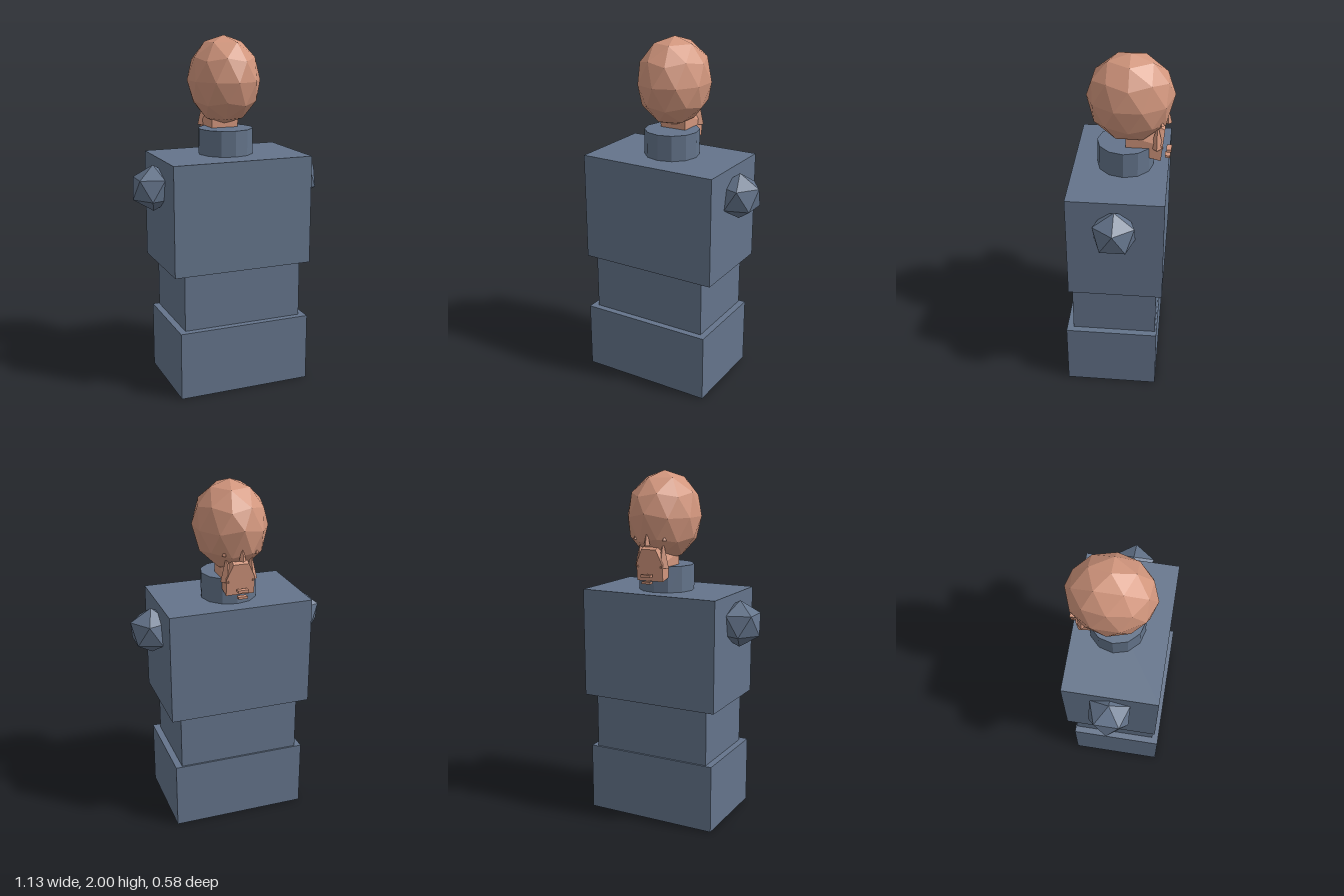
import * as THREE from 'three';

const cloth = new THREE.MeshStandardMaterial({ name: 'slate cloth', color: 0x64748b, flatShading: true });
const skin = new THREE.MeshStandardMaterial({ name: 'skin', color: 0xd2967d, flatShading: true });

function add(group, name, geometry, material, x, y, z) {
  const mesh = new THREE.Mesh(geometry, material);
  mesh.name = name;
  mesh.position.set(x, y, z);
  group.add(mesh);
  return mesh;
}

// Box given by half width, bottom, top, back and front
function block(group, name, halfX, y0, y1, z0, z1, material = cloth) {
  const geometry = new THREE.BoxGeometry(halfX * 2, y1 - y0, z1 - z0);
  return add(group, name, geometry, material, 0, (y0 + y1) / 2, (z0 + z1) / 2);
}

// Icosphere standing on one of its corners, with an upper corner towards +x
function icosphere(radius, detail) {
  return new THREE.IcosahedronGeometry(radius, detail)
    .rotateX(-Math.atan((1 + Math.sqrt(5)) / 2))
    .rotateY(Math.PI / 2);
}

export function createModel() {
  const model = new THREE.Group();
  model.name = 'blockBust';

  // Stacked body
  block(model, 'pelvis', 0.39, 0, 0.39, -0.24, 0.29);
  block(model, 'waist', 0.352, 0.39, 0.71, -0.23, 0.252);
  block(model, 'chest', 0.411, 0.71, 1.335, -0.265, 0.265);
  add(model, 'collar', new THREE.CylinderGeometry(0.157, 0.157, 0.146, 12).rotateY(Math.PI / 2), cloth, 0, 1.408, -0.023);

  // Shoulder balls
  for (const side of [-1, 1]) {
    add(model, side > 0 ? 'leftShoulder' : 'rightShoulder', icosphere(0.132, 0), cloth, side * 0.445, 1.168, 0);
  }

  // Skull, with the brow corner raised a little
  const skull = icosphere(1, 1).scale(0.205, 0.25, 0.24);
  const p = skull.attributes.position;
  for (let i = 0; i < p.count; i++) if (p.getZ(i) < -0.235) p.setY(i, p.getY(i) + 0.025);
  add(model, 'head', skull, skin, 0, 1.75, -0.05);

  // Jaw: side profile (z, y) drawn out across the face
  const profile = [[-0.03, 1.55], [-0.03, 1.47], [-0.165, 1.42], [-0.222, 1.405], [-0.232, 1.5], [-0.24, 1.58], [-0.2, 1.6]];
  const jawShape = new THREE.Shape(profile.map(([z, y]) => new THREE.Vector2(-z, y)));
  const jaw = new THREE.ExtrudeGeometry(jawShape, { depth: 0.16, bevelEnabled: false });
  jaw.translate(0, 0, -0.08).rotateY(Math.PI / 2);
  // Narrow the jaw towards its top
  const j = jaw.attributes.position;
  for (let i = 0; i < j.count; i++) if (j.getY(i) > 1.56) j.setX(i, j.getX(i) * 0.55);
  add(model, 'jaw', jaw, skin, 0, 0, 0);

  // Face details on the rear side
  const nose = new THREE.ConeGeometry(0.02, 0.085, 4);
  add(model, 'nose', nose, skin, 0, 1.645, -0.255);
  block(model, 'upperLip', 0.03, 1.432, 1.447, -0.278, -0.25, skin);
  block(model, 'lowerLip', 0.026, 1.395, 1.408, -0.272, -0.243, skin);
  for (const side of [-1, 1]) {
    const label = side > 0 ? 'left' : 'right';
    add(model, label + 'Eye', new THREE.ConeGeometry(0.016, 0.03, 4), skin, side * 0.088, 1.645, -0.222);
    add(model, label + 'Cheek', new THREE.ConeGeometry(0.035, 0.15, 4), skin, side * 0.07, 1.555, -0.2);
  }
  return model;
}
